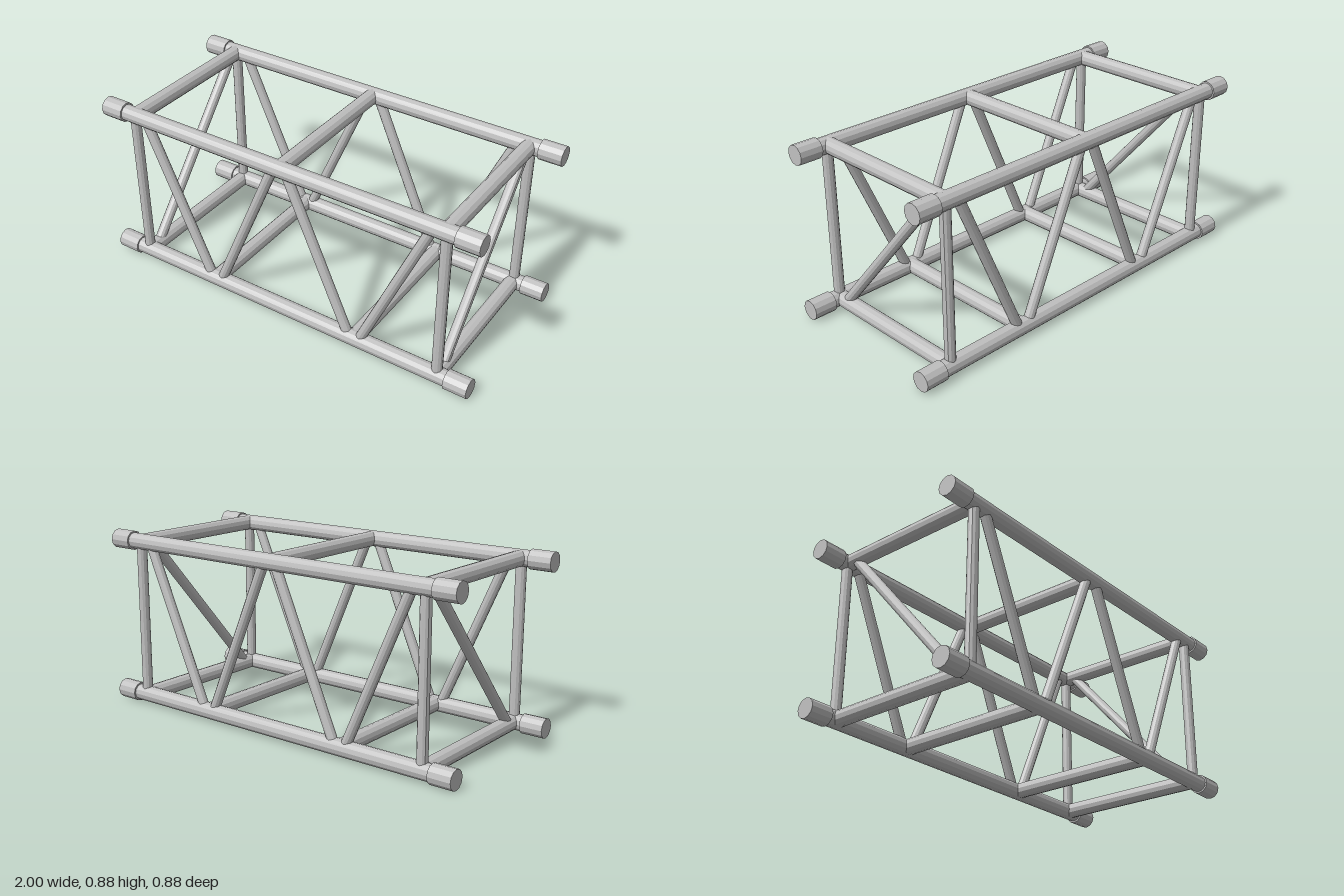
import * as THREE from 'three';

const LOW = 0.05, HIGH = 0.833, SIDE = 0.392; // chord centre lines
const END = 0.83;                             // x of the end frames

export function createModel() {
  const truss = new THREE.Group();
  truss.name = 'boxTruss';
  const aluminium = new THREE.MeshStandardMaterial({ color: 0xc0c0c0, flatShading: true });
  aluminium.name = 'aluminium grey';

  // twelve-sided tube between two points
  function tube(name, radius, from, to) {
    const a = new THREE.Vector3(...from), b = new THREE.Vector3(...to);
    const dir = b.clone().sub(a);
    const mesh = new THREE.Mesh(new THREE.CylinderGeometry(radius, radius, dir.length(), 12), aluminium);
    mesh.name = name;
    mesh.position.copy(a).add(b).multiplyScalar(0.5);
    mesh.quaternion.setFromUnitVectors(new THREE.Vector3(0, 1, 0), dir.normalize());
    truss.add(mesh);
  }

  // four long chords with thicker couplers at both ends
  for (const y of [LOW, HIGH]) {
    for (const z of [-SIDE, SIDE]) {
      tube('chord', 0.04, [-0.95, y, z], [0.95, y, z]);
      for (const s of [-1, 1]) tube('endCoupler', 0.048, [s * 0.885, y, z], [s, y, z]);
    }
  }

  // cross bars joining the front and back chords
  for (const x of [-END, 0, END]) tube('topCrossBar', 0.0385, [x, HIGH, -SIDE], [x, HIGH, SIDE]);
  for (const x of [-END, -0.4, 0.4, END]) tube('bottomCrossBar', 0.0385, [x, LOW, -SIDE], [x, LOW, SIDE]);

  for (const s of [-1, 1]) {
    // posts and zigzag bracing on the front and back
    for (const z of [-SIDE, SIDE]) {
      tube('post', 0.0255, [s * 0.833, LOW, z], [s * 0.833, HIGH, z]);
      tube('outerBrace', 0.0248, [s * 0.425, LOW, z], [s * 0.77, HIGH, z]);
      tube('innerBrace', 0.0248, [s * 0.37, LOW, z], [s * 0.03, HIGH, z]);
    }
    // diagonal across each end frame
    tube('endBrace', 0.0255, [s * END, LOW, 0.335], [s * END, HIGH, -0.335]);
  }
  return truss;
}
